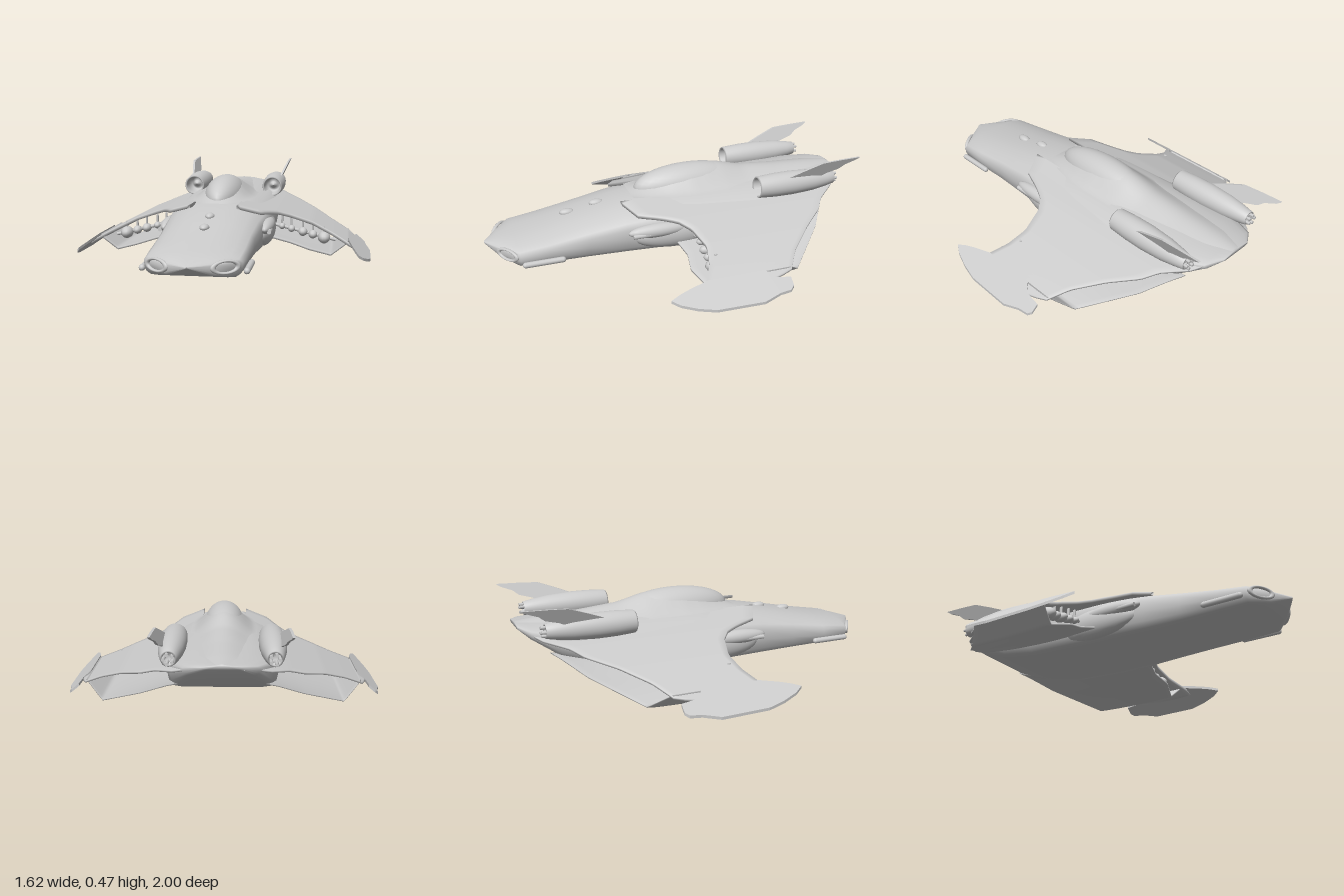
import * as THREE from 'three';

const grey = new THREE.MeshStandardMaterial({ color: 0xcccccc, side: THREE.DoubleSide });

// Linear lookup in a short table of [key, value...] rows with rising keys
function lookup(rows, t) {
  let i = 0;
  while (i < rows.length - 2 && t > rows[i + 1][0]) i++;
  const a = rows[i], b = rows[i + 1];
  const k = THREE.MathUtils.clamp((t - a[0]) / (b[0] - a[0]), 0, 1);
  return a.map((v, j) => v + (b[j] - v) * k);
}

// Skin a list of equal-length rings; closed joins each ring's ends and caps both ends
function loft(rings, closed = true) {
  const n = rings[0].length, pos = rings.flat(2), idx = [];
  const m = closed ? n : n - 1;
  for (let i = 0; i < rings.length - 1; i++) {
    for (let j = 0; j < m; j++) {
      const a = i * n + j, b = i * n + (j + 1) % n;
      idx.push(a, b, a + n, b, b + n, a + n);
    }
  }
  if (closed) {
    const last = (rings.length - 1) * n;
    for (let j = 1; j < n - 1; j++) idx.push(0, j + 1, j, last, last + j, last + j + 1);
  }
  const g = new THREE.BufferGeometry();
  g.setAttribute('position', new THREE.Float32BufferAttribute(pos, 3));
  g.setIndex(idx);
  g.computeVertexNormals();
  return g;
}

function add(parent, name, geometry, position = [0, 0, 0], scale = [1, 1, 1]) {
  const mesh = new THREE.Mesh(geometry, grey);
  mesh.name = name;
  mesh.position.set(...position);
  mesh.scale.set(...scale);
  parent.add(mesh);
  return mesh;
}

// Thin curved panel between a leading and a trailing edge
function skin(x0, x1, lead, trail, height, thick) {
  const rings = [], nu = 36, nv = 18;
  for (let i = 0; i <= nu; i++) {
    const x = x0 + (x1 - x0) * i / nu;
    const zl = lookup(lead, x)[1], zt = lookup(trail, x)[1];
    const top = [], under = [];
    for (let j = 0; j <= nv; j++) {
      const v = j / nv, y = height(x, v), z = zl + (zt - zl) * v;
      top.push([x, y, z]);
      under.unshift([x, y - thick * (0.35 + 0.65 * Math.sqrt(Math.sin(Math.PI * Math.min(1, v * 0.9 + 0.1)))), z]);
    }
    rings.push([...top, ...under]);
  }
  return loft(rings);
}

// Plate cut from a smooth outline, then every vertex placed by a rule
function plate(points, depth, place) {
  const shape = new THREE.Shape(points.map(p => new THREE.Vector2(...p)));
  const g = new THREE.ExtrudeGeometry(shape, { depth, bevelEnabled: false });
  const p = g.attributes.position;
  for (let i = 0; i < p.count; i++) p.setXYZ(i, ...place(p.getX(i), p.getY(i), p.getZ(i)));
  g.computeVertexNormals();
  return g;
}

// Rows: z, half width, top, shoulder, bottom
const hullRows = [
  [-0.98, 0.09, 0.345, 0.335, 0.325], [-0.93, 0.17, 0.345, 0.32, 0.285],
  [-0.8, 0.24, 0.345, 0.295, 0.2], [-0.6, 0.27, 0.345, 0.27, 0.13],
  [-0.4, 0.28, 0.345, 0.255, 0.09], [-0.1, 0.28, 0.34, 0.24, 0.075],
  [0.1, 0.27, 0.33, 0.23, 0.072], [0.3, 0.25, 0.305, 0.215, 0.072],
  [0.5, 0.237, 0.265, 0.19, 0.074], [0.7, 0.233, 0.222, 0.165, 0.077],
  [0.85, 0.225, 0.195, 0.15, 0.08], [0.93, 0.12, 0.175, 0.148, 0.1], [1, 0.006, 0.155, 0.15, 0.145],
];
function hull() {
  const rings = hullRows.map(([, w, t, s, b], i) => {
    const z = hullRows[i][0], half = [
      [0, t], [0.25 * w, t - 0.02 * (t - s)], [0.5 * w, t - 0.13 * (t - s)], [0.75 * w, t - 0.38 * (t - s)],
      [0.92 * w, t - 0.7 * (t - s)], [w, s], [0.99 * w, s + 0.4 * (b - s)], [0.95 * w, s + 0.75 * (b - s)],
      [0.86 * w, s + 0.95 * (b - s)], [0.7 * w, b], [0, b]];
    const other = half.slice(1, -1).reverse().map(([x, y]) => [-x, y]);
    return [...half, ...other].map(([x, y]) => [x, y, z]);
  });
  return loft(rings);
}

// Raised spine: z, half width, height
const spineRows = [[-0.975, 0.1, 0.025], [-0.85, 0.14, 0.035], [-0.65, 0.15, 0.045], [-0.43, 0.16, 0.065],
  [-0.3, 0.17, 0.1], [-0.2, 0.17, 0.114], [-0.1, 0.17, 0.114], [0, 0.16, 0.09], [0.1, 0.14, 0.045], [0.22, 0.1, 0.0]];
function spine() {
  const rings = [];
  for (let i = 0; i <= 40; i++) {
    const [z, w, h] = lookup(spineRows, -0.975 + 1.195 * i / 40), ring = [];
    for (let j = 0; j <= 24; j++) {
      const x = j / 12 - 1;
      ring.push([x * w, 0.322 + h * Math.pow(0.5 + 0.5 * Math.cos(Math.PI * x), 0.75), z]);
    }
    rings.push(ring);
  }
  return loft(rings, false);
}

const topLine = [[0.12, 0.325], [0.2, 0.3], [0.3, 0.27], [0.49, 0.2], [0.62, 0.137], [0.73, 0.08]];
const topLead = [[0.12, 0.3], [0.24, 0.24], [0.28, 0.13], [0.32, 0.05], [0.38, 0.0], [0.5, -0.035], [0.6, -0.01], [0.7, 0.05], [0.73, 0.06]];
const topTrail = [[0.12, -0.955], [0.22, -0.89], [0.31, -0.78], [0.38, -0.73], [0.48, -0.61], [0.6, -0.48], [0.7, -0.41], [0.73, -0.3]];
const lowLine = [[0.2, 0.145], [0.25, 0.135], [0.596, 0.03], [0.69, 0.108]];
const lowLead = [[0.2, 0.06], [0.38, 0.02], [0.48, 0.04], [0.6, 0.0], [0.69, 0.02]];
const lowTrail = [[0.2, -0.85], [0.31, -0.77], [0.38, -0.72], [0.48, -0.62], [0.6, -0.5], [0.69, -0.41]];

function buildSide() {
  const side = new THREE.Group();
  add(side, 'upperWing', skin(0.12, 0.73, topLead, topTrail, x => lookup(topLine, x)[1], 0.024));
  // Lower panel lifts toward its trailing edge and turns up at the outer wall
  add(side, 'lowerWing', skin(0.2, 0.69, lowLead, lowTrail,
    (x, v) => lookup(lowLine, x)[1] + Math.max(0, 0.6 - x) * 0.2 * v ** 3, 0.014));

  // Drooped wingtip blade
  const tip = [[0.69, 0.03], [0.71, 0.13], [0.725, 0.19], [0.742, 0.24], [0.765, 0.2], [0.79, 0.12], [0.808, 0.03],
    [0.812, -0.22], [0.79, -0.31], [0.785, -0.37], [0.77, -0.39], [0.735, -0.39], [0.725, -0.3], [0.69, -0.27]];
  add(side, 'wingtip', plate(tip, 0.014, (x, z, c) => [x, 0.093 - (x - 0.7) * 0.83 + c, z]));

  // Row of bulbs on a rod inside the wing gap
  const rod = new THREE.LineCurve3(new THREE.Vector3(0.24, 0.19, -0.05), new THREE.Vector3(0.62, 0.095, -0.08));
  add(side, 'bulbRod', new THREE.TubeGeometry(rod, 1, 0.009, 8));
  [[0.556, 0.034], [0.495, 0.024], [0.44, 0.025], [0.378, 0.02], [0.326, 0.018]].forEach(([x, r]) => {
    const bulb = add(side, 'wingBulb', new THREE.SphereGeometry(r, 14, 10), [x, 0.19 - (x - 0.24) * 0.25, -0.06], [1, 1, 1.6]);
    add(bulb, 'bulbStrut', new THREE.CylinderGeometry(0.006, 0.006, 0.07, 6), [0, 0.025, 0]);
  });

  // Engine nacelle with open front duct
  const profile = [[0, 0.07], [0.018, 0.09], [0.038, 0.13], [0.046, 0.05], [0.048, 0.004], [0.053, -0.003], [0.058, 0.004],
    [0.064, 0.1], [0.065, 0.2], [0.058, 0.32], [0.046, 0.4], [0.036, 0.45], [0.028, 0.45], [0.024, 0.41], [0, 0.41]];
  const nacelle = new THREE.LatheGeometry(profile.map(p => new THREE.Vector2(...p)), 32).rotateX(-Math.PI / 2);
  add(side, 'nacelle', nacelle, [0.235, 0.345, -0.43]);
  for (let i = 0; i < 5; i++) {
    const a = i / 5 * Math.PI * 2;
    add(side, 'exhaustPipe', new THREE.CylinderGeometry(0.008, 0.01, 0.08, 8).rotateX(-Math.PI / 2),
      [0.235 + 0.022 * Math.cos(a), 0.345 + 0.022 * Math.sin(a), -0.86]);
  }

  // Swept fin leaning outward from the nacelle
  const fin = [[-0.58, 0.385], [-0.68, 0.425], [-0.78, 0.462], [-0.88, 0.468], [-1, 0.472], [-0.98, 0.458],
    [-0.92, 0.435], [-0.89, 0.41], [-0.82, 0.39], [-0.78, 0.37], [-0.62, 0.37]];
  add(side, 'fin', plate(fin, 0.012, (z, y, c) => [0.258 + (y - 0.37) * 0.42 + c, y, z]));

  // Wing root pod and its barrel
  add(side, 'rootPod', new THREE.SphereGeometry(1, 24, 16), [0.262, 0.2, 0.13], [0.038, 0.038, 0.17]);
  add(side, 'podBarrel', new THREE.CylinderGeometry(0.012, 0.012, 0.12, 10).rotateX(Math.PI / 2), [0.285, 0.19, 0.22]);
  add(side, 'rootFairing', new THREE.SphereGeometry(1, 24, 16), [0.235, 0.165, 0.02], [0.06, 0.085, 0.25]);

  // Nose cannon and corner intake
  add(side, 'noseCannon', new THREE.CapsuleGeometry(0.015, 0.19, 4, 12).rotateX(Math.PI / 2), [0.24, 0.107, 0.735]);
  const lip = add(side, 'intakeLip', new THREE.TorusGeometry(0.046, 0.01, 10, 28), [0.155, 0.137, 0.903], [1.35, 0.6, 1]);
  lip.rotation.y = 0.62;
  return side;
}

export function createModel() {
  const model = new THREE.Group();
  model.name = 'winged spacecraft';
  add(model, 'hull', hull());
  add(model, 'spine', spine());
  add(model, 'canopy', new THREE.SphereGeometry(1, 32, 20), [0, 0.33, -0.12], [0.105, 0.11, 0.31]);
  [[0.4, 0.283], [0.56, 0.252]].forEach(([z, y]) =>
    add(model, 'dorsalBump', new THREE.SphereGeometry(1, 16, 10), [0, y, z], [0.024, 0.018, 0.04]));

  const left = buildSide(), right = buildSide();
  left.name = 'leftSide';
  right.name = 'rightSide';
  right.scale.x = -1;
  model.add(left, right);
  return model;
}
